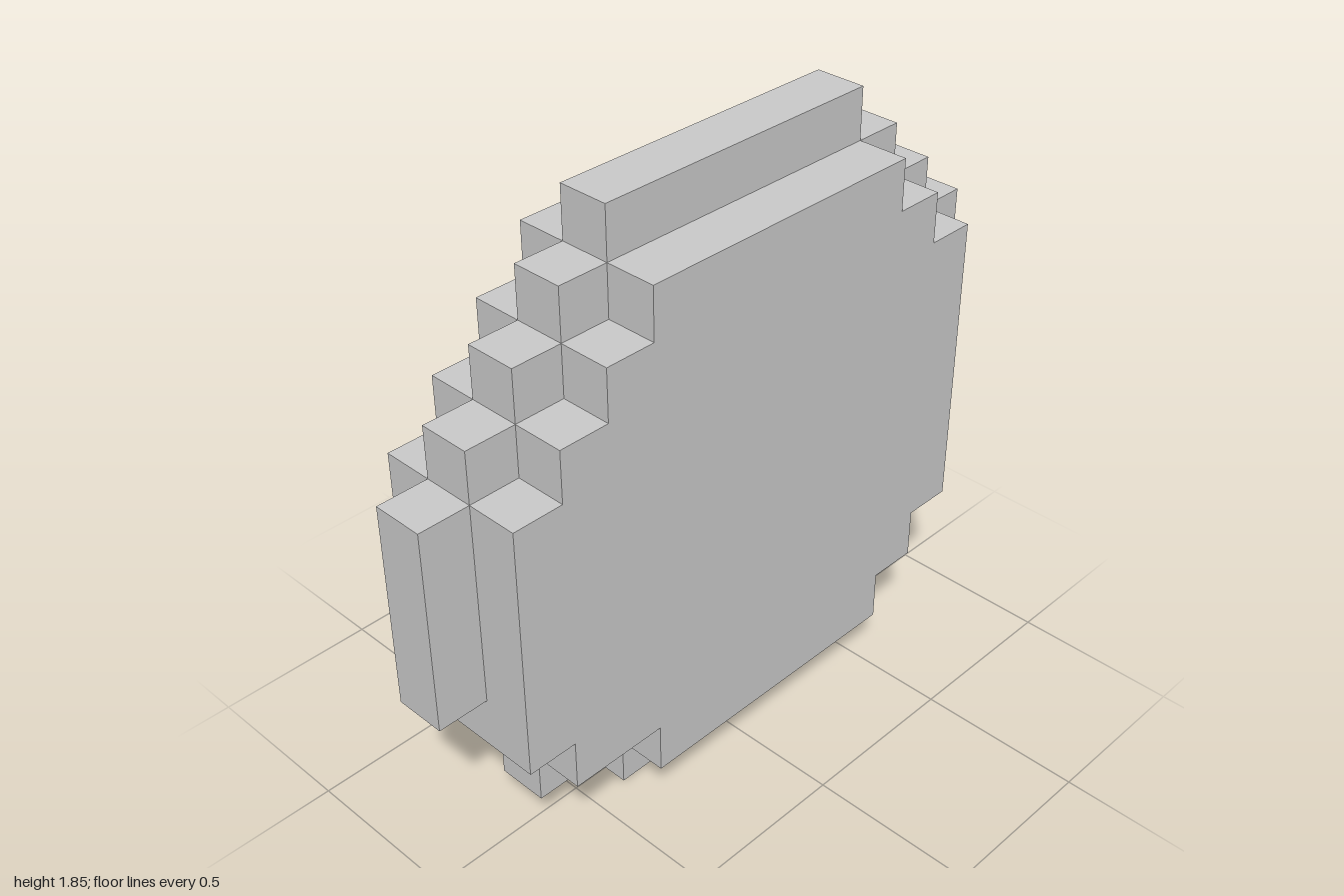
import * as THREE from 'three';

const U = 2 / 13; // one block

// Each row: [height in blocks, front end, back end], ends counted in blocks back from the front
const rimRows = [
  [1, 4, 10], [1, 2, 11], [1, 2, 12], [1, 1, 13], [4, 0, 13],
  [1, 1, 13], [1, 2, 12], [1, 3, 11], [1, 4, 10],
];
const bodyRows = [
  [1, 4, 10], [1, 2, 11], [5, 1, 12], [1, 2, 12], [1, 3, 11], [1, 4, 10],
];

// Stepped outline built from stacked rows, extruded across the width
function steppedSlab(name, rows, bottom, width, material) {
  const front = [], back = [];
  let y = bottom;
  for (const [height, f, b] of rows) {
    for (const level of [y, y + height]) {
      front.push(new THREE.Vector2((f - 6.5) * U, level * U));
      back.push(new THREE.Vector2((b - 6.5) * U, level * U));
    }
    y += height;
  }
  // drop repeated points where neighbouring rows share an end
  const outline = [...back, ...front.reverse()].filter(
    (p, i, all) => i === 0 || p.distanceTo(all[i - 1]) > 1e-6);
  const geometry = new THREE.ExtrudeGeometry(new THREE.Shape(outline), {
    depth: width * U, bevelEnabled: false,
  });
  geometry.translate(0, 0, -width * U / 2);
  geometry.rotateY(Math.PI / 2); // outline runs front to back, width along x
  const mesh = new THREE.Mesh(geometry, material);
  mesh.name = name;
  return mesh;
}

export function createModel() {
  const group = new THREE.Group();
  group.name = 'blockDisc';
  const material = new THREE.MeshStandardMaterial({ color: 0xcccccc, flatShading: true });

  // Wide body, three blocks across
  group.add(steppedSlab('body', bodyRows, 1, 3, material));
  // Narrow central ridge standing out around the edge
  group.add(steppedSlab('centralRim', rimRows, 0, 1, material));
  return group;
}
